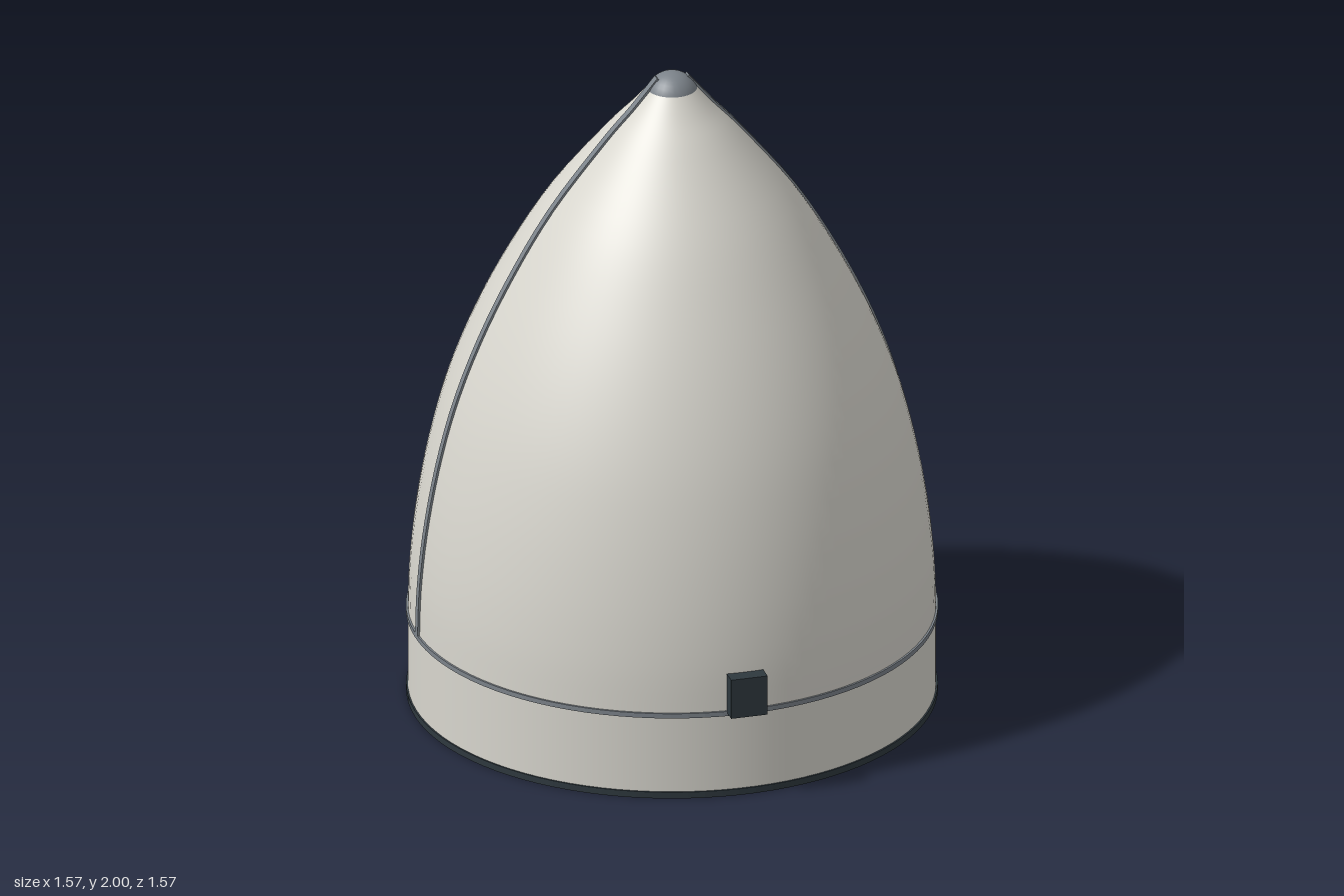
import * as THREE from 'three';

const SEAM = THREE.MathUtils.degToRad(21); // azimuth of the split line, from +x towards +z

// Ogive outline as radius, height
const ogive = new THREE.SplineCurve([
  [0.78, 0.27], [0.775, 0.42], [0.756, 0.6], [0.72, 0.8], [0.667, 1.0], [0.59, 1.2],
  [0.49, 1.4], [0.367, 1.6], [0.207, 1.8], [0.125, 1.89], [0.074, 1.95],
].map(([r, y]) => new THREE.Vector2(r, y)));

function material(name, color, side = THREE.FrontSide) {
  const m = new THREE.MeshStandardMaterial({ color, side });
  m.name = name;
  return m;
}

export function createModel() {
  const group = new THREE.Group();
  const shellMat = material('warm white', 0xd8d6ce, THREE.DoubleSide);
  const greyMat = material('metal grey', 0x7c838a);
  const darkMat = material('dark slate', 0x2e383e);

  function add(name, geometry, mat) {
    const mesh = new THREE.Mesh(geometry, mat);
    mesh.name = name;
    group.add(mesh);
    return mesh;
  }
  const lathe = (pts, ...arc) =>
    new THREE.LatheGeometry(pts.map(([r, y]) => new THREE.Vector2(r, y)), ...arc);

  // Closed ring with a rectangular section
  function ring(name, inner, outer, y0, y1, mat) {
    const shape = new THREE.Shape().absarc(0, 0, outer, 0, Math.PI * 2);
    shape.holes.push(new THREE.Path().absarc(0, 0, inner, 0, Math.PI * 2, true));
    const geo = new THREE.ExtrudeGeometry(shape, { depth: y1 - y0, bevelEnabled: false, curveSegments: 48 });
    geo.rotateX(-Math.PI / 2).translate(0, y0, 0);
    return add(name, geo, mat);
  }

  // Shell: curved nose above a straight skirt
  add('noseShell', new THREE.LatheGeometry(ogive.getPoints(40), 96), shellMat);
  add('skirt', lathe([[0.78, 0.01], [0.78, 0.27]], 96), shellMat);

  // Inner cone sloping down to the central opening
  add('innerCone', lathe([[0.28, 0.005], [0.775, 0.265]], 96), shellMat);
  ring('openingRim', 0.265, 0.283, 0, 0.02, shellMat);

  // Rings and tip
  ring('baseRing', 0.76, 0.785, 0, 0.02, darkMat);
  ring('jointRing', 0.77, 0.786, 0.26, 0.275, greyMat);
  const cap = new THREE.SphereGeometry(0.08, 24, 8, 0, Math.PI * 2, 0, Math.PI * 0.39);
  add('tipCap', cap.translate(0, 1.92, 0), greyMat);

  // Split-line rails following the outline on both sides
  const path = [...ogive.getPoints(36), new THREE.Vector2(0.045, 1.985)];
  const outer = path.map((p, i) => {
    const a = path[Math.max(i - 1, 0)], b = path[Math.min(i + 1, path.length - 1)];
    const t = b.clone().sub(a).normalize();
    return new THREE.Vector2(p.x + t.y * 0.006, p.y - t.x * 0.006);
  });
  const inner = path.map((p) => new THREE.Vector2(Math.max(p.x - 0.008, 0.02), p.y - 0.004)).reverse();
  const railGeo = new THREE.ExtrudeGeometry(new THREE.Shape([...outer, ...inner]),
    { depth: 0.026, bevelEnabled: false });
  railGeo.translate(0, 0, -0.013);

  for (const side of [0, 1]) {
    const rail = add(side ? 'rightRail' : 'leftRail', railGeo, greyMat);
    rail.rotation.y = -SEAM + side * Math.PI;

    // Blocks sitting on the joint ring, a quarter turn from the rails
    const angle = SEAM + Math.PI / 2 + side * Math.PI;
    const block = add(side ? 'backBlock' : 'frontBlock', new THREE.BoxGeometry(0.06, 0.125, 0.112), darkMat);
    block.position.set(Math.cos(angle) * 0.792, 0.33, Math.sin(angle) * 0.792);
    block.rotation.y = -angle;
  }

  // Access panel lying almost flush with the shell beside the left rail
  const deg = THREE.MathUtils.degToRad;
  const panel = [];
  for (let i = 0; i <= 40; i++) {
    const p = ogive.getPoint(i / 40);
    if (p.y > 0.48 && p.y < 0.72) panel.push([p.x + 0.003, p.y]);
  }
  add('accessPanel', lathe(panel, 12, deg(66), deg(15.5)), shellMat);

  return group;
}
